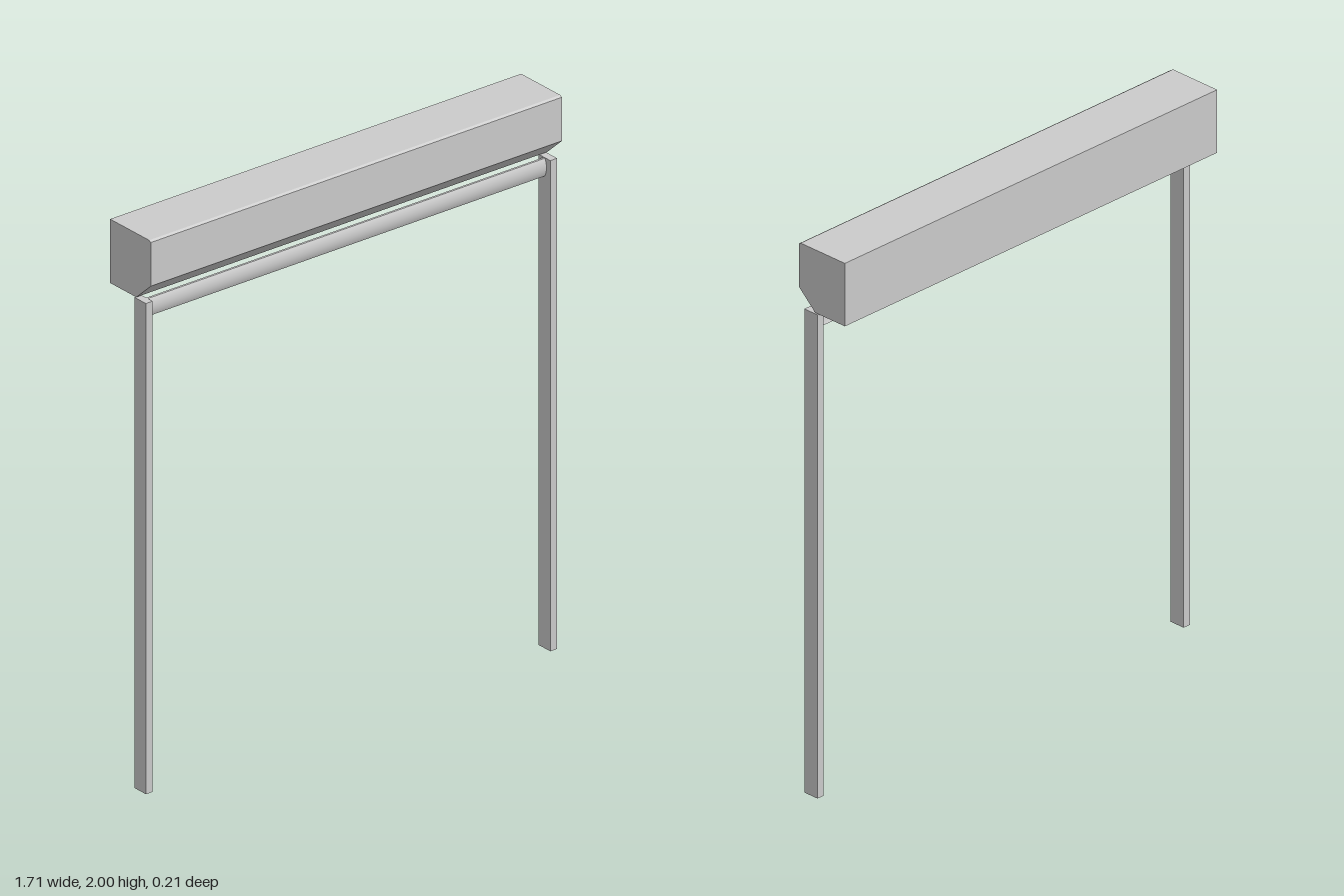
import * as THREE from 'three';

const grey = new THREE.MeshStandardMaterial({ color: 0xcccccc });

// Extrudes a [z, y] profile along x, centred on x = 0
function alongX(shape, length) {
  const geo = new THREE.ExtrudeGeometry(shape, { depth: length, bevelEnabled: false, curveSegments: 16 });
  geo.translate(0, 0, -length / 2);
  geo.rotateY(-Math.PI / 2); // profile x becomes +z
  return geo;
}

function add(group, name, geo) {
  const mesh = new THREE.Mesh(geo, grey);
  mesh.name = name;
  group.add(mesh);
  return mesh;
}

export function createModel() {
  const model = new THREE.Group();
  model.name = 'rollerShutter';

  // Housing box with a chamfered lower front and a fine top front edge
  const housing = new THREE.Shape([
    [-0.105, 1.77], [0.03, 1.77], [0.105, 1.838], [0.105, 1.995], [0.096, 2], [-0.105, 2],
  ].map(([z, y]) => new THREE.Vector2(z, y)));
  add(model, 'housing', alongX(housing, 1.71));

  // Side guide rails
  for (const side of [1, -1]) {
    const rail = add(model, side > 0 ? 'leftGuideRail' : 'rightGuideRail', new THREE.BoxGeometry(0.028, 1.766, 0.06));
    rail.position.set(side * 0.841, 0.883, 0.05);
  }

  // Bottom slat of the rolled-up curtain: thin, bowed towards the front
  const slat = new THREE.Shape();
  slat.moveTo(0.044, 1.7);
  slat.lineTo(0.052, 1.7);
  slat.quadraticCurveTo(0.068, 1.732, 0.052, 1.764);
  slat.lineTo(0.044, 1.764);
  slat.quadraticCurveTo(0.058, 1.732, 0.044, 1.7);
  const geo = alongX(slat, 1.656);
  // Smooth normals across the bow, edges kept sharp
  add(model, 'curtainSlat', smoothBow(geo));

  return model;
}

// Averages normals of neighbouring facets that meet at a shallow angle
function smoothBow(geo) {
  const pos = geo.attributes.position, nor = geo.attributes.normal;
  const flat = nor.clone(), a = new THREE.Vector3(), b = new THREE.Vector3();
  const p = new THREE.Vector3(), q = new THREE.Vector3(), sum = new THREE.Vector3();
  for (let i = 0; i < pos.count; i++) {
    p.fromBufferAttribute(pos, i);
    a.fromBufferAttribute(flat, i);
    sum.set(0, 0, 0);
    for (let j = 0; j < pos.count; j++) {
      b.fromBufferAttribute(flat, j);
      if (q.fromBufferAttribute(pos, j).distanceTo(p) < 1e-5 && a.dot(b) > 0.85) sum.add(b);
    }
    sum.normalize();
    nor.setXYZ(i, sum.x, sum.y, sum.z);
  }
  return geo;
}
